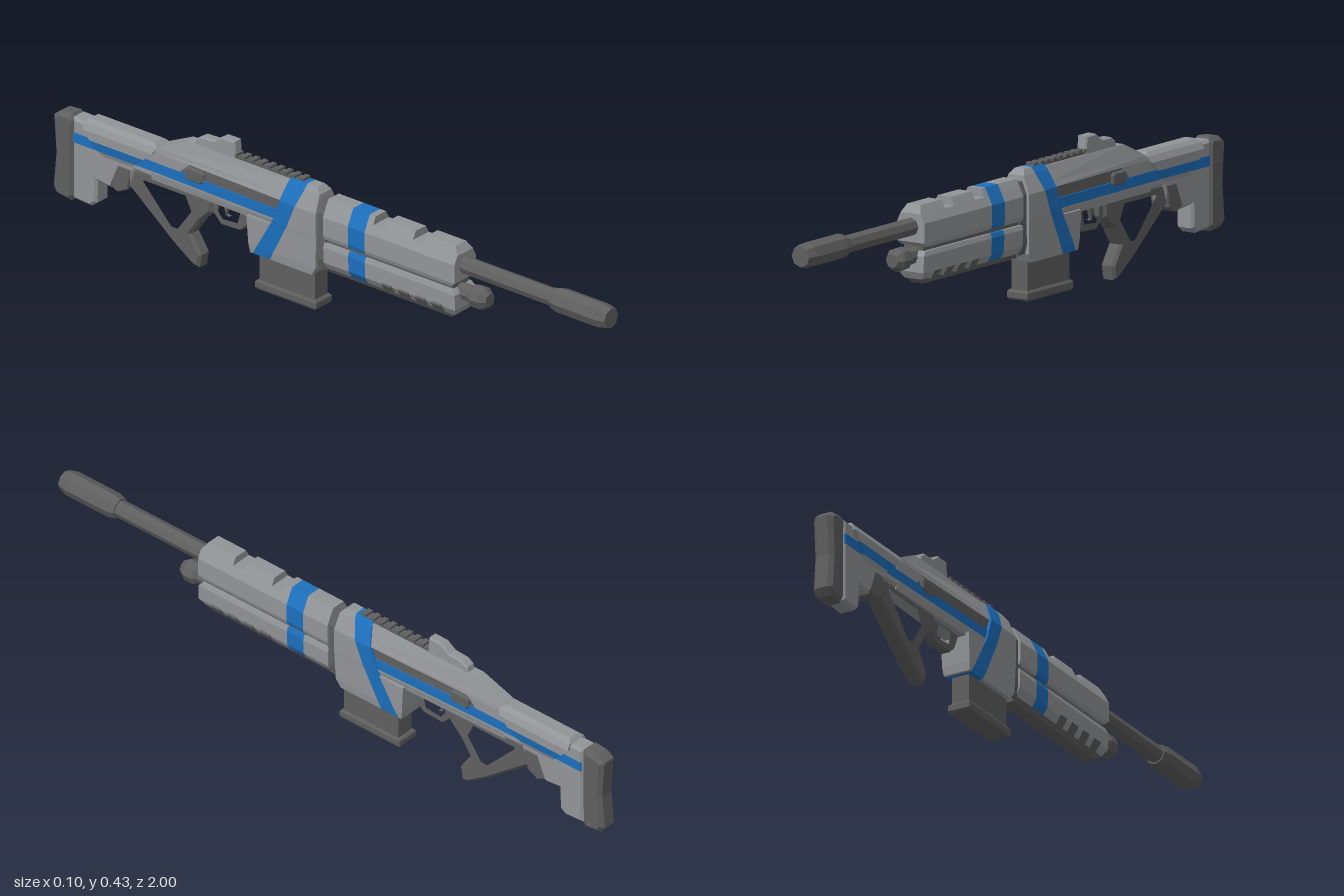
import * as THREE from 'three';

const mat = (name, color, side = THREE.FrontSide) => {
  const m = new THREE.MeshStandardMaterial({ color, side, flatShading: true });
  m.name = name;
  return m;
};

export function createModel() {
  const light = mat('light grey', 0x929598);
  const dark = mat('dark grey', 0x5f5f5f);
  const blue = mat('blue', 0x1c70be);
  const root = new THREE.Group();

  function add(name, geo, material) {
    const m = new THREE.Mesh(geo, material);
    m.name = name;
    root.add(m);
    return m;
  }

  // Stacked rows [y, zFront, zBack, halfWidthFront, halfWidthBack] joined into a solid
  function stack(name, material, rows) {
    const pos = [], idx = [];
    for (const [y, zf, zb, wf, wb = wf] of rows) {
      pos.push(wf, y, zf, wb, y, zb, -wb, y, zb, -wf, y, zf);
    }
    for (let r = 0; r < rows.length - 1; r++) {
      for (let k = 0; k < 4; k++) {
        const a = r * 4 + k, b = r * 4 + (k + 1) % 4;
        idx.push(a, b, b + 4, a, b + 4, a + 4);
      }
    }
    const t = (rows.length - 1) * 4;
    idx.push(t, t + 1, t + 2, t, t + 2, t + 3, 0, 2, 1, 0, 3, 2);
    let geo = new THREE.BufferGeometry();
    geo.setAttribute('position', new THREE.Float32BufferAttribute(pos, 3));
    geo.setIndex(idx);
    geo = geo.toNonIndexed();
    geo.computeVertexNormals();
    return add(name, geo, material);
  }

  // Side outline in (z, y), extruded across x with a bevel kept inside the outline
  function slab(name, material, pts, half, bevel = 0.006, hole = null) {
    const shape = new THREE.Shape(pts.map(p => new THREE.Vector2(...p)));
    if (hole) shape.holes.push(new THREE.Path(hole.map(p => new THREE.Vector2(...p))));
    const depth = 2 * (half - bevel);
    const geo = new THREE.ExtrudeGeometry(shape, {
      depth, bevelEnabled: bevel > 0, bevelSize: bevel, bevelThickness: bevel,
      bevelOffset: -bevel, bevelSegments: 1,
    });
    geo.translate(0, 0, -depth / 2);
    geo.rotateY(-Math.PI / 2);
    return add(name, geo, material);
  }

  // Turned part along z, points are [radius, z] from back to front
  function turned(name, y, pts, sides = 8) {
    const geo = new THREE.LatheGeometry(pts.map(p => new THREE.Vector2(...p)), sides);
    geo.rotateX(Math.PI / 2);
    geo.translate(0, y, 0);
    return add(name, geo, dark);
  }

  const box = (name, material, x, y, z, w, h, d) =>
    add(name, new THREE.BoxGeometry(w, h, d).translate(x, y, z), material);

  // Barrel, muzzle and the lower tube
  turned('barrel', 0.305, [[0, 0.4], [0.026, 0.4], [0.026, 0.81], [0, 0.81]]);
  turned('muzzle', 0.305, [[0, 0.795], [0.031, 0.795], [0.037, 0.82], [0.037, 0.97], [0.03, 0.998], [0, 0.998]]);
  turned('lowerTube', 0.222, [[0, 0.4], [0.024, 0.4], [0.024, 0.51], [0, 0.51]]);
  turned('lowerTubeCap', 0.222, [[0, 0.498], [0.026, 0.498], [0.034, 0.51], [0.034, 0.54], [0.02, 0.56], [0, 0.56]]);

  // Upper handguard in slices, with two notches on top and a blue band
  const slices = [
    [0.47, 0.353, 0.366, light], [0.353, 0.31, 0.343, light], [0.31, 0.21, 0.366, light],
    [0.21, 0.166, 0.343, light], [0.166, 0.145, 0.366, light], [0.145, 0.085, 0.366, blue],
    [0.085, -0.005, 0.366, light],
  ];
  slices.forEach(([zf, zb, top, m], i) => {
    const f = i === 0 ? 0.015 : 0; // sloped nose
    stack('upperHandguard', m, [
      [0.25, zf - f, zb, 0.042], [0.262, zf, zb, 0.046], [0.318, zf, zb, 0.046],
      [0.343, zf, zb, 0.034], ...(top > 0.35 ? [[top, zf - f, zb, 0.022]] : []),
    ]);
  });

  // Lower handguard with the matching band
  [[0.47, 0.145, light], [0.145, 0.085, blue], [0.085, -0.005, light]].forEach(([zf, zb, m], i) => {
    const f = i === 0 ? 0.012 : 0;
    stack('lowerHandguard', m, [
      [0.157, zf - f, zb, 0.03], [0.178, zf, zb, 0.043], [0.225, zf, zb, 0.045], [0.238, zf - f, zb, 0.041],
    ]);
  });
  box('handguardCore', dark, 0, 0.245, 0.217, 0.066, 0.03, 0.475);
  stack('handguardKeel', dark, [[0.142, 0.44, -0.005, 0.02], [0.16, 0.455, -0.005, 0.03]]);
  stack('receiverJoint', dark, [
    [0.15, 0, -0.04, 0.03], [0.18, 0, -0.04, 0.038], [0.32, 0, -0.04, 0.038], [0.355, 0, -0.04, 0.022],
  ]);

  // Vents along the lower edge on both sides
  for (let i = 0; i < 4; i++) {
    for (const s of [-1, 1]) {
      const vent = box('vent', dark, s * 0.0375, 0.169, 0.405 - i * 0.06, 0.008, 0.03, 0.035);
      vent.geometry.translate(-s * 0.0375, -0.169, 0).rotateZ(-s * 0.55).translate(s * 0.0375, 0.169, 0);
    }
  }

  // Front of the receiver, divided by the slanted blue band
  const bands = [
    // y, front edge, band front, band back, half width
    [0.125, -0.05, -0.2, -0.262, 0.041], [0.15, -0.034, -0.187, -0.247, 0.044],
    [0.235, -0.03, -0.143, -0.197, 0.046], [0.25, -0.03, -0.135, -0.188, 0.047],
    [0.32, -0.03, -0.106, -0.162, 0.047], [0.37, -0.034, -0.088, -0.15, 0.026],
    [0.386, -0.05, -0.085, -0.145, 0.016],
  ];
  stack('receiverFront', light, bands.map(([y, f, a, , w]) => [y, f, a, w]));
  stack('receiverBand', blue, bands.map(([y, , a, b, w]) => [y, a, b, w]));
  stack('magazineWellBack', light, [
    [0.125, -0.262, -0.272, 0.041], [0.15, -0.247, -0.276, 0.044], [0.238, -0.195, -0.282, 0.046],
  ]);

  // Rear of the receiver, in horizontal layers, narrowing backwards
  stack('receiverLower', light, [
    [0.228, -0.19, -0.64, 0.036, 0.026], [0.25, -0.18, -0.64, 0.042, 0.03], [0.256, -0.18, -0.64, 0.042, 0.03]]);
  stack('receiverStripe', blue, [[0.256, -0.17, -0.64, 0.042, 0.03], [0.286, -0.16, -0.64, 0.042, 0.03]]);
  stack('receiverPanel', dark, [[0.286, -0.16, -0.54, 0.038, 0.028], [0.32, -0.15, -0.5, 0.038, 0.028]]);
  stack('receiverPanelEnd', light, [[0.286, -0.535, -0.64, 0.03], [0.322, -0.495, -0.64, 0.03]]);
  stack('receiverTop', light, [
    [0.32, -0.15, -0.64, 0.043, 0.03], [0.335, -0.145, -0.615, 0.037, 0.028], [0.38, -0.14, -0.525, 0.019, 0.017]]);
  slab('sideButton', dark, [[-0.445, 0.28], [-0.455, 0.272], [-0.505, 0.272], [-0.515, 0.28],
    [-0.515, 0.305], [-0.505, 0.313], [-0.455, 0.313], [-0.445, 0.305]], 0.038, 0.005);

  // Toothed rail and rear sight
  box('rail', dark, 0, 0.381, -0.24, 0.026, 0.012, 0.28);
  for (let i = 0; i < 9; i++) box('railTooth', dark, 0, 0.388, -0.11 - i * 0.03, 0.03, 0.012, 0.016);
  slab('rearSight', light, [[-0.345, 0.375], [-0.35, 0.43], [-0.395, 0.43], [-0.425, 0.41],
    [-0.47, 0.408], [-0.49, 0.395], [-0.495, 0.375]], 0.016, 0.004);

  // Magazine
  box('magazine', dark, 0, 0.085, -0.15, 0.055, 0.1, 0.2);
  stack('magazineBase', dark, [
    [0.015, -0.045, -0.255, 0.032], [0.021, -0.04, -0.26, 0.035], [0.037, -0.04, -0.26, 0.035], [0.043, -0.046, -0.254, 0.031]]);

  // Trigger guard, trigger and skeleton grip
  slab('triggerGuard', dark, [[-0.28, 0.24], [-0.305, 0.185], [-0.33, 0.163], [-0.4, 0.16], [-0.43, 0.19], [-0.45, 0.24]],
    0.015, 0.003, [[-0.325, 0.225], [-0.337, 0.18], [-0.395, 0.176], [-0.412, 0.197], [-0.415, 0.225]]);
  slab('trigger', dark, [[-0.375, 0.232], [-0.39, 0.19], [-0.378, 0.187], [-0.4, 0.232]], 0.006, 0);
  slab('grip', dark, [[-0.425, 0.24], [-0.43, 0.188], [-0.47, 0.15], [-0.505, 0.1], [-0.468, 0.045],
    [-0.475, 0.004], [-0.5, 0.008], [-0.57, 0.055], [-0.73, 0.18], [-0.74, 0.24]],
    0.023, 0.008, [[-0.515, 0.222], [-0.49, 0.17], [-0.545, 0.095], [-0.575, 0.095], [-0.68, 0.205], [-0.68, 0.222]]);

  // Stock with stripe, cheek rest and butt pad
  slab('stock', light, [[-0.61, 0.322], [-0.925, 0.33], [-0.925, 0.08], [-0.86, 0.076], [-0.84, 0.092],
    [-0.838, 0.16], [-0.79, 0.155], [-0.72, 0.185], [-0.7, 0.235], [-0.61, 0.232]], 0.029, 0.008);
  for (const s of [-1, 1]) box('stockStripe', blue, s * 0.0285, 0.271, -0.77, 0.004, 0.03, 0.3);
  stack('cheekRestLower', light, [[0.242, -0.71, -0.81, 0.028], [0.258, -0.695, -0.83, 0.034]]);
  stack('cheekRestStripe', blue, [[0.258, -0.695, -0.83, 0.034], [0.285, -0.66, -0.855, 0.039]]);
  stack('cheekRest', light, [
    [0.285, -0.66, -0.855, 0.039], [0.312, -0.63, -0.88, 0.039], [0.33, -0.62, -0.88, 0.03], [0.341, -0.635, -0.87, 0.018]]);
  slab('stockRearEdge', dark, [[-0.712, 0.235], [-0.725, 0.17], [-0.76, 0.152], [-0.79, 0.165], [-0.76, 0.235]], 0.031, 0.003);
  slab('buttPad', dark, [[-0.92, 0.32], [-0.932, 0.336], [-0.975, 0.332], [-0.998, 0.315], [-0.99, 0.2],
    [-1.0, 0.095], [-0.985, 0.074], [-0.935, 0.068], [-0.922, 0.085]], 0.031, 0.012);

  return root;
}
